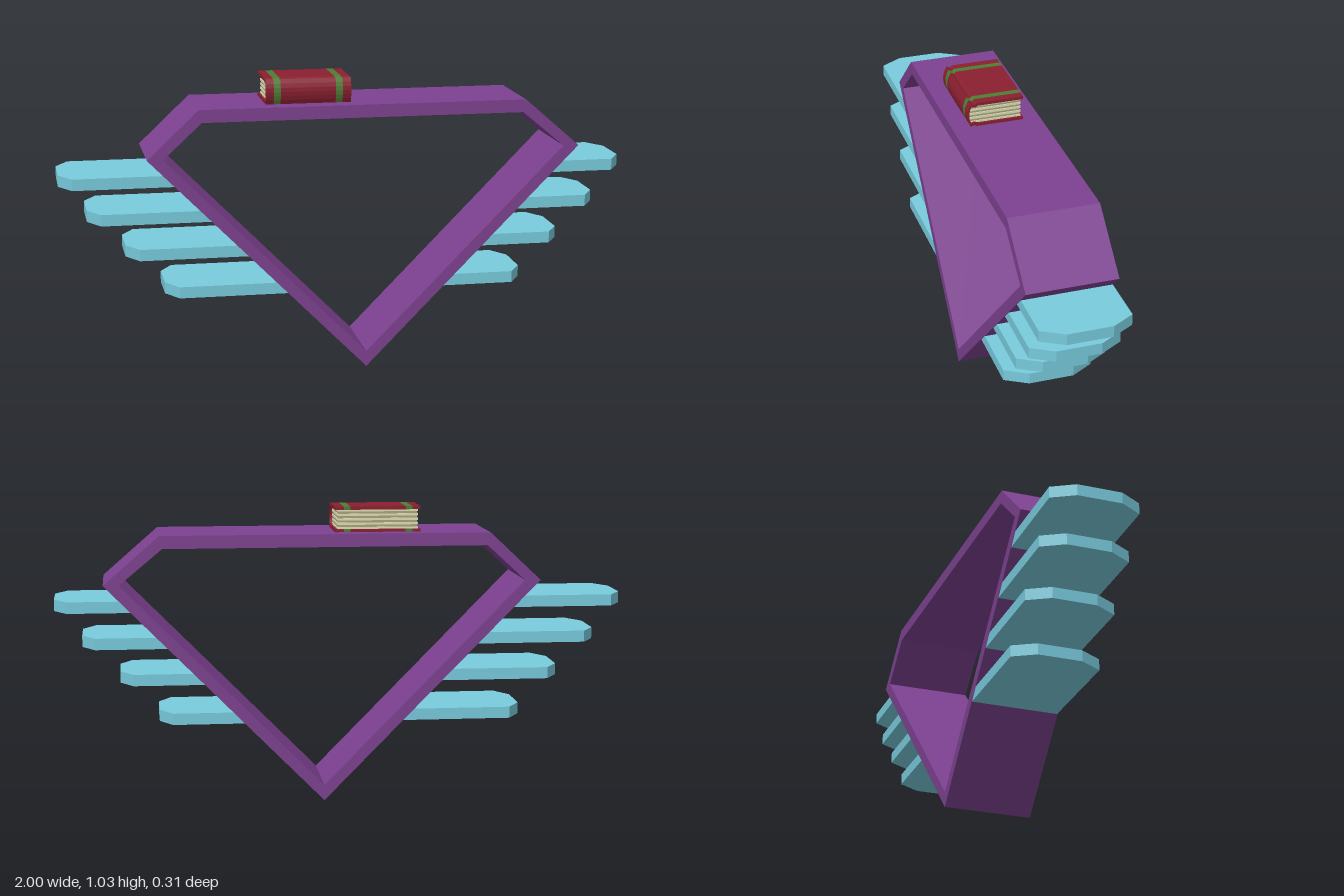
import * as THREE from 'three';

const mat = (color, flat = true) => new THREE.MeshStandardMaterial({ color, flatShading: flat });
const purple = mat(0x7d4190), cyan = mat(0x78cbdd), red = mat(0x8a1f30);
const green = mat(0x4f7d34), paper = mat(0xe0deb6), paperDark = mat(0xa8a47c);

const toPoints = (list) => list.map(([x, y]) => new THREE.Vector2(x, y));

function add(parent, name, geometry, material) {
  const mesh = new THREE.Mesh(geometry, material);
  mesh.name = name;
  parent.add(mesh);
  return mesh;
}

const extrude = (shape, depth) =>
  new THREE.ExtrudeGeometry(shape, { depth, bevelEnabled: false, curveSegments: 6 });

// Gem-shaped open frame
function buildFrame(parent) {
  const shape = new THREE.Shape(toPoints([
    [0.065, 0], [0.83, 0.775], [0.635, 0.945], [-0.52, 0.945], [-0.7, 0.775]]));
  shape.holes.push(new THREE.Path(toPoints([
    [0.065, 0.055], [-0.645, 0.775], [-0.51, 0.9], [0.625, 0.9], [0.775, 0.775]])));
  const geometry = extrude(shape, 0.315);
  geometry.translate(0, 0, -0.157);
  add(parent, 'frame', geometry, purple);
}

// Stacked wing feathers: flat slabs with clipped outer corners
function buildFeathers(parent) {
  const feathers = [[1.0, 0.70], [0.905, 0.572], [0.775, 0.443], [0.64, 0.303]];
  for (const side of [-1, 1]) {
    const wing = new THREE.Group();
    wing.name = side > 0 ? 'leftWing' : 'rightWing';
    parent.add(wing);
    feathers.forEach(([tip, y], i) => {
      // inner end stays hidden within the slanted frame wall
      const root = side > 0 ? 0.065 + (y - 0.02) * 0.987 - 0.006 : -0.065 + (y - 0.02) * 0.987 - 0.006;
      const outline = new THREE.Shape(toPoints([
        [root, -0.156], [tip - 0.045, -0.156], [tip, -0.078],
        [tip, 0.078], [tip - 0.045, 0.156], [root, 0.156]]));
      const geometry = extrude(outline, 0.04);
      geometry.translate(0, 0, -0.02);
      geometry.rotateX(-Math.PI / 2);
      if (side < 0) geometry.rotateY(Math.PI);
      geometry.translate(0, y, 0);
      add(wing, 'feather' + (i + 1), geometry, cyan);
    });
  }
}

// Book lying flat, spine to the front
function buildBook(parent) {
  const book = new THREE.Group();
  book.name = 'book';
  parent.add(book);

  // Cover cross-section (z, y): two boards, hinge grooves and a bulged spine
  const cover = new THREE.Shape();
  cover.moveTo(-0.097, 0.944);
  cover.lineTo(0.07, 0.944);
  cover.lineTo(0.08, 0.95);
  cover.lineTo(0.092, 0.945);
  cover.quadraticCurveTo(0.117, 0.989, 0.092, 1.032);
  cover.lineTo(0.08, 1.027);
  cover.lineTo(0.07, 1.034);
  cover.lineTo(-0.097, 1.034);
  cover.lineTo(-0.097, 1.023);
  cover.lineTo(0.066, 1.023);
  cover.lineTo(0.078, 1.017);
  cover.lineTo(0.09, 1.02);
  cover.quadraticCurveTo(0.105, 0.989, 0.09, 0.957);
  cover.lineTo(0.078, 0.96);
  cover.lineTo(0.066, 0.955);
  cover.lineTo(-0.097, 0.955);

  // Red cover divided by two green bands
  const cuts = [-0.28, -0.252, -0.228, -0.034, -0.01, 0.02];
  for (let i = 0; i < 5; i++) {
    const geometry = extrude(cover, cuts[i + 1] - cuts[i]);
    geometry.rotateY(-Math.PI / 2);
    geometry.translate(cuts[i + 1], 0, 0);
    add(book, i % 2 ? 'coverBand' : 'cover', geometry, i % 2 ? green : red);
  }

  // Page block in alternating light and dark layers
  const layers = 9, bottom = 0.954, step = 0.07 / layers;
  for (let i = 0; i < layers; i++) {
    const inset = i % 2 ? 0.003 : 0;
    const geometry = new THREE.BoxGeometry(0.284 - inset * 2, step, 0.184 - inset);
    const page = add(book, 'pages', geometry, i % 2 ? paperDark : paper);
    page.position.set(-0.13, bottom + (i + 0.5) * step, 0.002 + inset / 2);
  }
}

export function createModel() {
  const model = new THREE.Group();
  model.name = 'gemShelfWithBook';
  buildFrame(model);
  buildFeathers(model);
  buildBook(model);
  return model;
}
